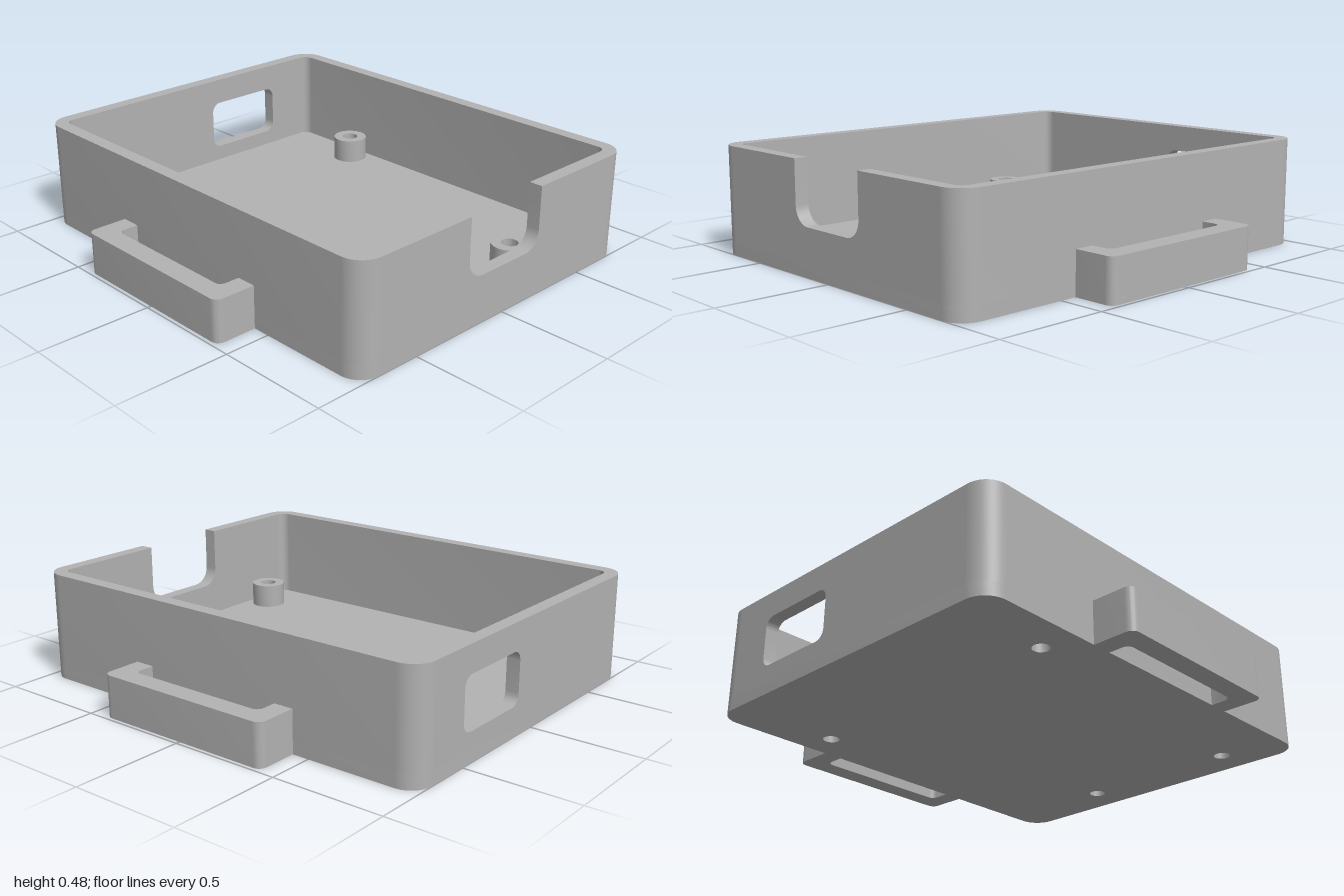
import * as THREE from 'three';
import { toCreasedNormals } from 'three/addons/utils/BufferGeometryUtils.js';

const W = 1, D = 0.797, H = 0.48;        // half width, half depth, height
const T = 0.06;                          // wall and floor thickness
const R = 0.1, RI = 0.04;                // outer and inner corner radii
const END = D - R;                       // half length of the flat end walls
const BOSSES = [[-0.51, -0.645], [0.84, -0.24], [0.84, 0.5], [-0.54, 0.635]];

// Closed outline from [x, y, radius] corners, all at right angles
function outline(points, Type = THREE.Shape) {
  const path = new Type();
  const n = points.length;
  points.forEach(([x, y, r = 0], i) => {
    const toward = ([px, py], d) => {
      const len = Math.hypot(px - x, py - y);
      return [x + (px - x) / len * d, y + (py - y) / len * d];
    };
    const prev = points[(i + n - 1) % n], next = points[(i + 1) % n];
    const start = toward(prev, r);
    if (i === 0) path.moveTo(...start); else path.lineTo(...start);
    if (r > 0) {
      const c = r * 0.4477;
      path.bezierCurveTo(...toward(prev, c), ...toward(next, c), ...toward(next, r));
    }
  });
  path.closePath();
  return path;
}

function rect(x0, y0, x1, y1, r, Type) {
  return outline([[x0, y0, r], [x1, y0, r], [x1, y1, r], [x0, y1, r]], Type);
}

function circle(x, y, r, Type) {
  return new Type().absarc(x, y, r, 0, Math.PI * 2, false);
}

const extrude = (shape, depth) =>
  new THREE.ExtrudeGeometry(shape, { depth, bevelEnabled: false, curveSegments: 12 });

// Plan outline (x, z) raised from y0 to y1
function plan(shape, y0, y1) {
  const g = extrude(shape, y1 - y0).rotateX(Math.PI / 2).translate(0, y1, 0);
  return toCreasedNormals(g, 0.6);
}

// Side outline (z, y) with its outermost face at x
function side(shape, x) {
  return toCreasedNormals(extrude(shape, T).rotateY(-Math.PI / 2).translate(x, 0, 0), 0.6);
}

export function createModel() {
  const model = new THREE.Group();
  model.name = 'enclosureTray';
  const grey = new THREE.MeshStandardMaterial({ color: 0xb2b2b2 });
  grey.name = 'grey plastic';

  const add = (name, geometry, turn = 0) => {
    const mesh = new THREE.Mesh(geometry, grey);
    mesh.name = name;
    mesh.rotation.y = turn;
    model.add(mesh);
  };

  // Floor with screw holes
  const floor = rect(-W, -D, W, D, R);
  BOSSES.forEach(([x, z]) => floor.holes.push(circle(x, z, 0.037, THREE.Path)));
  add('floor', plan(floor, 0, T));

  // Hollow screw bosses
  BOSSES.forEach(([x, z], i) => {
    const ring = circle(x, z, 0.08, THREE.Shape);
    ring.holes.push(circle(x, z, 0.037, THREE.Path));
    add('screwBoss' + (i + 1), plan(ring, T, 0.17));
  });

  // Long walls including the rounded corners
  const xi = W - T, zi = D - T;
  const wall = plan(outline([
    [-W, END], [-xi, END], [-xi, zi, RI], [xi, zi, RI],
    [xi, END], [W, END], [W, D, R], [-W, D, R],
  ]), T, H);
  add('frontWall', wall);
  add('backWall', wall, Math.PI);

  // End wall with a cable notch open at the top
  add('notchedWall', side(outline([
    [-END, T], [END, T], [END, H], [0.213, H], [0.213, 0.21, 0.08],
    [-0.213, 0.21, 0.08], [-0.213, H], [-END, H],
  ]), W));

  // End wall with a rounded window
  const windowWall = rect(-END, T, END, H, 0);
  windowWall.holes.push(rect(-0.5, 0.13, -0.105, 0.36, 0.045, THREE.Path));
  add('windowWall', side(windowWall, -xi));

  // Strap loops on the long walls
  const loop = plan(outline([
    [-0.425, D], [-0.335, D], [-0.335, 0.89, 0.03], [0.335, 0.89, 0.03],
    [0.335, D], [0.425, D], [0.425, 0.983, 0.035], [-0.425, 0.983, 0.035],
  ]), 0, 0.187);
  add('frontStrapLoop', loop);
  add('backStrapLoop', loop, Math.PI);

  return model;
}
